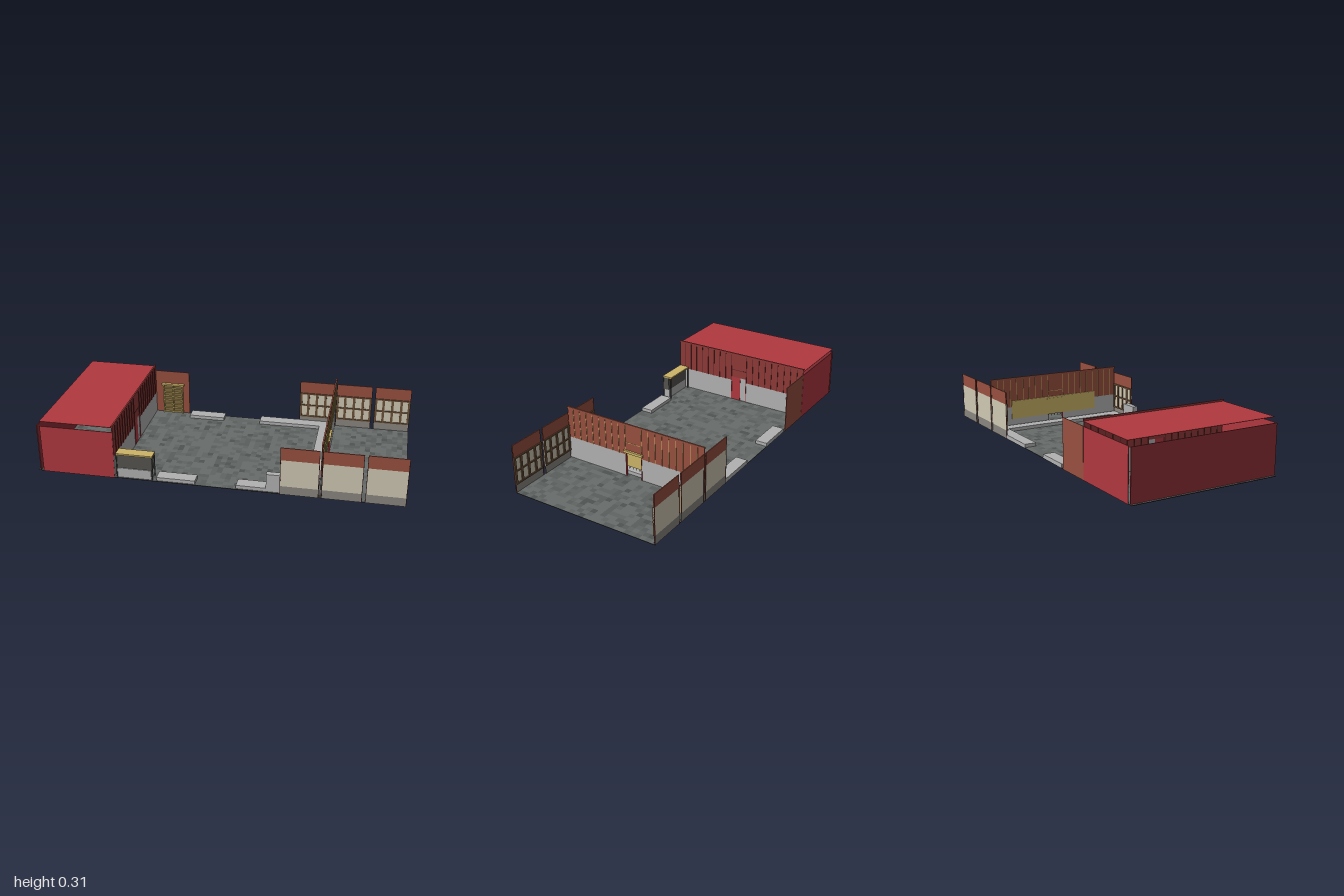
import * as THREE from 'three';
import { mergeGeometries } from 'three/addons/utils/BufferGeometryUtils.js';

const mats = {};
function mat(color) {
  if (!mats[color]) mats[color] = new THREE.MeshStandardMaterial({ color, side: THREE.DoubleSide });
  return mats[color];
}
const RED = 0xb0383f, BRICK = 0x98503f, DARK = 0x5a2a22, GREY = 0xb2b2b2, STONE = 0x8a8680;
const CREAM = 0xd0c8b4, GOLD = 0xcdb468;

// Box given by its extents along each axis
function box(parent, name, color, x0, x1, y0, y1, z0, z1) {
  const m = new THREE.Mesh(new THREE.BoxGeometry(x1 - x0, y1 - y0, z1 - z0), mat(color));
  m.position.set((x0 + x1) / 2, (y0 + y1) / 2, (z0 + z1) / 2);
  m.name = name;
  parent.add(m);
  return m;
}
function group(parent, name) {
  const g = new THREE.Group();
  g.name = name;
  parent.add(g);
  return g;
}

// Paved floor: a dark base with small tiles in several shades
function addFloor(parent) {
  const floor = group(parent, 'floor');
  box(floor, 'floorBase', 0x2e2e2e, -1, 1, 0, 0.003, -0.43, 0.43);
  let seed = 7;
  const rand = () => (seed = (seed * 16807) % 2147483647) / 2147483647;
  const shades = [0x686d6b, 0x616664, 0x5a5f5d, 0x4f5452];
  const sets = shades.map(() => []);
  const nx = 66, nz = 28, w = 2 / nx, d = 0.86 / nz;
  for (let i = 0; i < nx; i++) for (let j = 0; j < nz; j++) {
    const tile = new THREE.PlaneGeometry(w, d).rotateX(-Math.PI / 2);
    tile.translate(-1 + (i + 0.5) * w, 0.0042, -0.43 + (j + 0.5) * d);
    const r = rand();
    sets[r < 0.5 ? 0 : r < 0.75 ? 1 : r < 0.92 ? 2 : 3].push(tile);
  }
  sets.forEach((s, k) => {
    const m = new THREE.Mesh(mergeGeometries(s), mat(shades[k]));
    m.name = 'floorTiles';
    floor.add(m);
  });
}

// Cross wall with stone base, boarded top, battens and a central opening
function addCrossWall(parent, name, x, upper, battenColor) {
  const wall = group(parent, name), t = 0.003;
  for (const s of [-1, 1]) {
    const [a, b] = s < 0 ? [-0.43, -0.05] : [0.05, 0.43];
    box(wall, 'wallBase', GREY, x - t, x + t, 0, 0.132, a, b);
    box(wall, 'wallBoards', upper, x - t, x + t, 0.132, 0.303, a, b);
    box(wall, 'doorFrame', RED, x - 0.006, x + 0.006, 0, 0.16, s * 0.05 - 0.0015, s * 0.05 + 0.0015);
    for (let k = 0; k < 9; k++) {
      const z = s * (0.052 + k * 0.0425);
      box(wall, 'batten', battenColor, x - 0.006, x + 0.006, 0.132, 0.303, z - 0.001, z + 0.001);
    }
  }
  box(wall, 'lintelBoards', upper, x - t, x + t, 0.155, 0.303, -0.05, 0.05);
  box(wall, 'lintelRail', battenColor, x - 0.004, x + 0.004, 0.203, 0.206, -0.05, 0.05);
  box(wall, 'topBeam', upper, x - 0.004, x + 0.004, 0.303, 0.314, -0.432, 0.432);
  return wall;
}

// Side panel: plain outside, glazed window grid inside; s is the side of z
function addSidePanel(parent, x0, x1, s) {
  const panel = group(parent, 'sidePanel');
  const slab = (name, color, a, b, y0, y1, d0, d1) =>
    box(panel, name, color, a, b, y0, y1, Math.min(s * d0, s * d1), Math.max(s * d0, s * d1));
  slab('panelBase', STONE, x0, x1, 0, 0.05, 0.427, 0.431);
  slab('panelField', CREAM, x0, x1, 0.05, 0.205, 0.427, 0.431);
  slab('panelTop', BRICK, x0, x1, 0.205, 0.277, 0.427, 0.432);
  for (const x of [x0, x1 - 0.003]) slab('panelPost', DARK, x, x + 0.003, 0, 0.277, 0.4265, 0.4325);
  const n = 4, w = (x1 - x0) / n;
  for (let i = 0; i <= n; i++) {
    const c = Math.min(Math.max(x0 + i * w, x0 + 0.007), x1 - 0.007);
    slab('windowMullion', 0x6b5038, c - 0.007, c + 0.007, 0.05, 0.205, 0.422, 0.427);
  }
  for (const y of [0.05, 0.122, 0.197]) slab('windowRail', 0x6b5038, x0, x1, y, y + 0.008, 0.421, 0.427);
}

export function createModel() {
  const model = new THREE.Group();
  model.name = 'courtyard';
  addFloor(model);

  // Closed hall with a floating flat roof
  const hall = group(model, 'hall');
  for (const s of [-1, 1]) box(hall, 'hallSideWall', RED, -0.97, -0.562, 0, 0.276, s * 0.43 - 0.002, s * 0.43 + 0.002);
  box(hall, 'hallEndWall', 0x8c2f35, -0.99, -0.985, 0, 0.276, -0.43, 0.43);
  box(hall, 'hallRoof', RED, -0.97, -0.56, 0.302, 0.304, -0.437, 0.43);
  const hallFront = addCrossWall(hall, 'hallFront', -0.562, 0x8e3a38, 0x4f2220);
  box(hallFront, 'door', RED, -0.563, -0.559, 0.005, 0.155, -0.01, 0.05);
  box(hallFront, 'doorPane', GREY, -0.564, -0.56, 0.005, 0.155, -0.05, -0.01);

  // Courtyard gate wall with notice board, ledge and hooks
  const gate = addCrossWall(model, 'gateWall', 0.556, BRICK, GOLD);
  box(gate, 'board', GOLD, 0.547, 0.551, 0.06, 0.17, -0.3, 0.28);
  box(gate, 'ledge', GOLD, 0.545, 0.57, 0.146, 0.16, -0.06, 0.06);
  for (let k = 0; k < 4; k++) {
    const z = -0.03 + k * 0.0215;
    box(gate, 'hook', 0x3a3a3a, 0.548, 0.551, 0.048, 0.06, z - 0.001, z + 0.001);
  }

  // Side panels along both long edges
  for (const s of [-1, 1])
    for (const [a, b] of [[0.342, 0.547], [0.562, 0.772], [0.79, 0.999]]) addSidePanel(model, a, b, s);

  // Low curbs
  const curbs = group(model, 'curbs');
  for (const s of [-1, 1]) {
    const [a, b] = s < 0 ? [-0.43, -0.36] : [0.355, 0.425];
    box(curbs, 'shortCurb', GREY, -0.33, -0.117, 0, 0.024, a, b);
    box(curbs, 'longCurb', GREY, 0.107, 0.54, 0, 0.024, a, b);
  }
  box(curbs, 'crossCurb', GREY, 0.47, 0.54, 0, 0.024, -0.36, 0.355);
  box(model, 'plinth', GREY, 0.268, 0.375, 0, 0.108, 0.392, 0.425);

  // Back partition with a bookcase
  box(model, 'partition', BRICK, -0.56, -0.348, 0, 0.277, -0.432, -0.428);
  const shelf = group(model, 'bookcase');
  box(shelf, 'bookcaseBack', 0x80693c, -0.51, -0.39, 0.005, 0.19, -0.428, -0.425);
  box(shelf, 'bookcaseTop', GOLD, -0.52, -0.38, 0.188, 0.198, -0.428, -0.408);
  for (const x of [-0.512, -0.453, -0.394]) box(shelf, 'bookcaseUpright', GOLD, x, x + 0.006, 0.004, 0.188, -0.428, -0.413);
  for (let k = 0; k < 7; k++) box(shelf, 'bookcaseShelf', GOLD, -0.51, -0.39, 0.008 + k * 0.026, 0.012 + k * 0.026, -0.428, -0.415);

  // Front counter
  const counter = group(model, 'counter');
  box(counter, 'counterTop', GOLD, -0.552, -0.349, 0.14, 0.149, 0.365, 0.427);
  box(counter, 'counterBody', 0x55544f, -0.55, -0.352, 0.06, 0.14, 0.385, 0.42);
  box(counter, 'counterBase', GREY, -0.546, -0.358, 0, 0.06, 0.385, 0.424);
  for (const x of [-0.552, -0.355]) for (const z of [0.367, 0.421])
    box(counter, 'counterLeg', 0x4a4945, x, x + 0.005, 0, 0.14, z, z + 0.005);
  return model;
}
